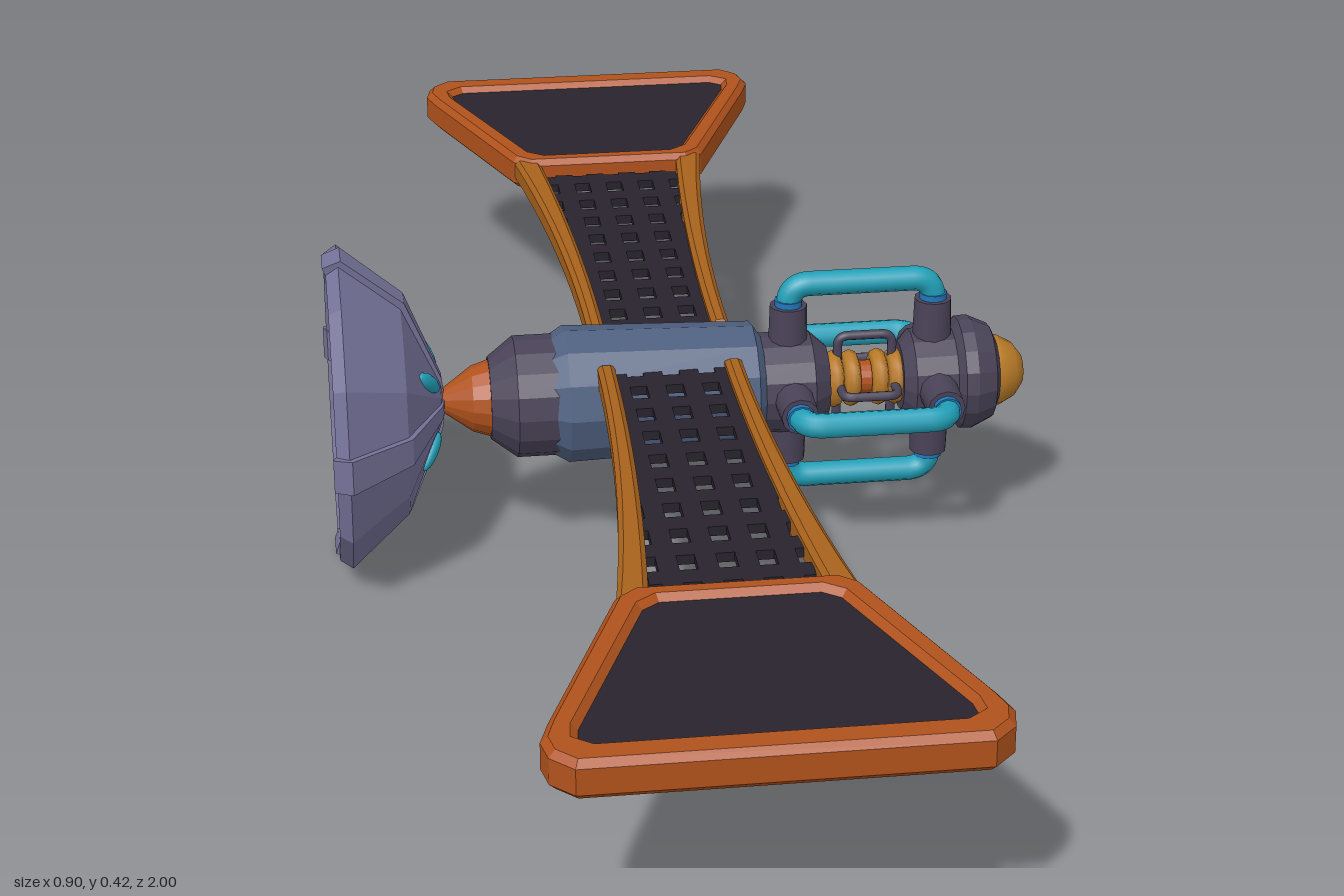
import * as THREE from 'three';

const AXIS = 0.213; // height of the fuselage axis
const mat = (color, flat = false) => new THREE.MeshStandardMaterial({ color, flatShading: flat });
const M = {
  dish: mat(0x757298, true), purple: mat(0x4a4358), purpleFlat: mat(0x4a4358, true),
  slate: mat(0x4f6080, true), teal: mat(0x22a0b8), blue: mat(0x2277bb),
  rust: mat(0xb0521c, true), amber: mat(0xa8621c, true), gold: mat(0xb87a28), dark: mat(0x28232d, true),
};
const V = (x, y, z = 0) => new THREE.Vector3(x, y, z);

function add(parent, name, geo, material, x = 0, y = 0, z = 0) {
  const m = new THREE.Mesh(geo, material);
  m.name = name;
  m.position.set(x, y, z);
  parent.add(m);
  return m;
}

// Turned part along x; the profile is [radius, x] with x rising on the outside
function turned(parent, name, profile, sides, material) {
  const geo = new THREE.LatheGeometry(profile.map(([r, x]) => new THREE.Vector2(r, x)), sides);
  return add(parent, name, geo.rotateZ(-Math.PI / 2), material);
}

// Copies of a part around the x axis
function around(parent, name, count, start, build) {
  for (let i = 0; i < count; i++) {
    const g = new THREE.Group();
    g.name = name;
    g.rotation.x = start + (i * 2 * Math.PI) / count;
    build(g);
    parent.add(g);
  }
}

// Bracket-shaped pipe from one hub to the other, bulging out along +y
function bracket(x0, x1, base, top, bend, radius) {
  const path = new THREE.CurvePath();
  path.add(new THREE.LineCurve3(V(x0, base), V(x0, top - bend)));
  path.add(new THREE.QuadraticBezierCurve3(V(x0, top - bend), V(x0, top), V(x0 + bend, top)));
  path.add(new THREE.LineCurve3(V(x0 + bend, top), V(x1 - bend, top)));
  path.add(new THREE.QuadraticBezierCurve3(V(x1 - bend, top), V(x1, top), V(x1, top - bend)));
  path.add(new THREE.LineCurve3(V(x1, top - bend), V(x1, base)));
  return new THREE.TubeGeometry(path, 60, radius, 10);
}

// Closed outline, symmetric in x, from its +x half
const mirrored = (half) =>
  [...half, ...half.map(([x, z]) => [-x, z]).reverse()].map(([x, z]) => new THREE.Vector2(x, z));

// Flat plate drawn in x and z, filling y0 to y1, with chamfered edges
function plate(points, y0, y1, bevel, hole) {
  const shape = new THREE.Shape(points);
  if (hole) shape.holes.push(new THREE.Path(hole));
  const geo = new THREE.ExtrudeGeometry(shape, {
    depth: y1 - y0 - 2 * bevel, bevelEnabled: bevel > 0, bevelThickness: bevel,
    bevelSize: bevel, bevelOffset: -bevel, bevelSegments: 1,
  });
  return geo.rotateX(Math.PI / 2).translate(0, y1 - bevel, 0);
}

function makeDish(body) {
  turned(body, 'dish', [
    [0, -0.325], [0.07, -0.335], [0.132, -0.368], [0.188, -0.438], [0.196, -0.446],
    [0.207, -0.43], [0.142, -0.355], [0.03, -0.308], [0, -0.303],
  ], 12, M.dish);
  // Ribs widen towards the rim
  const rib = new THREE.ExtrudeGeometry(new THREE.Shape([
    [-0.303, 0.01], [-0.306, 0.035], [-0.35, 0.145], [-0.427, 0.209], [-0.45, 0.2],
    [-0.445, 0.186], [-0.372, 0.128], [-0.34, 0.06], [-0.328, 0.01],
  ].map(([x, r]) => new THREE.Vector2(x, r))), { depth: 1, bevelEnabled: false }).translate(0, 0, -0.5);
  const p = rib.attributes.position;
  for (let i = 0; i < p.count; i++) p.setZ(i, p.getZ(i) * (0.012 + 0.16 * p.getY(i)));
  rib.computeVertexNormals();
  around(body, 'dishRib', 4, 0, (g) => add(g, 'rib', rib, M.dish));
  around(body, 'dishLight', 4, Math.PI / 4, (g) => {
    const light = add(g, 'light', new THREE.SphereGeometry(1, 12, 8), M.teal, -0.324, 0.068);
    light.scale.set(0.009, 0.028, 0.011);
    light.rotation.z = 0.43;
  });
  turned(body, 'antennaSpike', [[0, -0.42], [0.012, -0.325], [0, -0.32]], 8, M.gold);
}

function makeFuselage(body) {
  turned(body, 'neckCone', [[0.012, -0.31], [0.042, -0.268], [0.05, -0.244], [0, -0.24]], 16, M.rust);
  turned(body, 'noseCollar', [[0, -0.246], [0.053, -0.246], [0.078, -0.213], [0.078, -0.1]], 16, M.purpleFlat);
  turned(body, 'hullShell', [[0.076, -0.168], [0.088, -0.148], [0.081, 0.094], [0.066, 0.104]], 12, M.slate);
  turned(body, 'frontHub', [
    [0.064, 0.08], [0.066, 0.168], [0.046, 0.19], [0.034, 0.192], [0, 0.192],
  ], 16, M.purpleFlat);
  turned(body, 'rearHub', [
    [0, 0.286], [0.044, 0.286], [0.06, 0.3], [0.062, 0.354], [0.073, 0.362],
    [0.074, 0.378], [0.062, 0.404], [0.044, 0.412], [0, 0.412],
  ], 16, M.purpleFlat);
  turned(body, 'tailCap', [[0.046, 0.405], [0.046, 0.416], [0.036, 0.435], [0.02, 0.447], [0, 0.45]], 16, M.gold);

  // Ringed core between the hubs
  turned(body, 'core', [[0.022, 0.185], [0.022, 0.295]], 16, M.rust);
  for (const x of [0.2, 0.222, 0.258, 0.28]) {
    add(body, 'coreRing', new THREE.TorusGeometry(0.026, 0.011, 8, 16).rotateY(Math.PI / 2), M.gold, x);
  }

  // Coolant pipes on sockets, with a smaller cage inside
  const pipe = bracket(0.14, 0.328, 0.09, 0.136, 0.028, 0.016);
  const cage = bracket(0.205, 0.276, 0.018, 0.06, 0.014, 0.006);
  around(body, 'pipeAssembly', 4, 0, (g) => {
    for (const x of [0.14, 0.328]) {
      add(g, 'socket', new THREE.CylinderGeometry(0.024, 0.026, 0.07, 12), M.purple, x, 0.073);
      add(g, 'socketCollar', new THREE.CylinderGeometry(0.018, 0.018, 0.01, 12), M.blue, x, 0.111);
    }
    add(g, 'coolantPipe', pipe, M.teal);
    add(g, 'cageBar', cage, M.purple);
  });
}

function makeWing() {
  const wing = new THREE.Group();
  wing.name = 'wing';
  // Tip: solid tray, raised frame, dark panel
  const outline = mirrored([
    [0.115, 0.64], [0.138, 0.66], [0.235, 0.91], [0.246, 0.945], [0.24, 0.975], [0.215, 1.0],
  ]);
  const inset = mirrored([
    [0.09, 0.67], [0.11, 0.685], [0.205, 0.925], [0.207, 0.945], [0.19, 0.958],
  ]);
  add(wing, 'tipFrame', plate(outline, 0.246, 0.282, 0.008, inset), M.rust);
  add(wing, 'tipTray', plate(outline, 0.235, 0.262, 0.008), M.rust);
  add(wing, 'tipPanel', plate(inset, 0.255, 0.274, 0), M.dark);

  // Curved side beams, flaring towards the tip
  const inner = [], outer = [];
  for (let i = 0; i <= 10; i++) {
    const t = i / 10, z = 0.055 + t * 0.605, flare = t * t;
    inner.push([0.07 + 0.03 * flare, z]);
    outer.push([0.092 + 0.044 * flare, z]);
  }
  for (const s of [-1, 1]) {
    const pts = [...inner, ...outer.reverse()].map(([x, z]) => new THREE.Vector2(s * x, z));
    outer.reverse();
    add(wing, 'sideBeam', plate(pts, 0.245, 0.278, 0.006), M.amber);
  }
  // Lattice between the beams
  for (const x of [-0.068, -0.023, 0.023, 0.068]) {
    add(wing, 'latticeRail', new THREE.BoxGeometry(0.024, 0.01, 0.56), M.dark, x, 0.261, 0.34);
  }
  for (let i = 0; i < 9; i++) {
    const z = 0.088 + i * 0.064;
    add(wing, 'latticeRung', new THREE.BoxGeometry(0.158 + 0.03 * (i / 8) ** 2, 0.012, 0.03), M.dark, 0, 0.26, z);
  }
  wing.position.x = -0.02;
  return wing;
}

export function createModel() {
  const model = new THREE.Group();
  model.name = 'satellite';
  const body = new THREE.Group();
  body.name = 'body';
  body.position.y = AXIS;
  model.add(body);
  makeDish(body);
  makeFuselage(body);
  const left = makeWing(), right = makeWing();
  right.rotation.y = Math.PI;
  model.add(left, right);
  return model;
}
